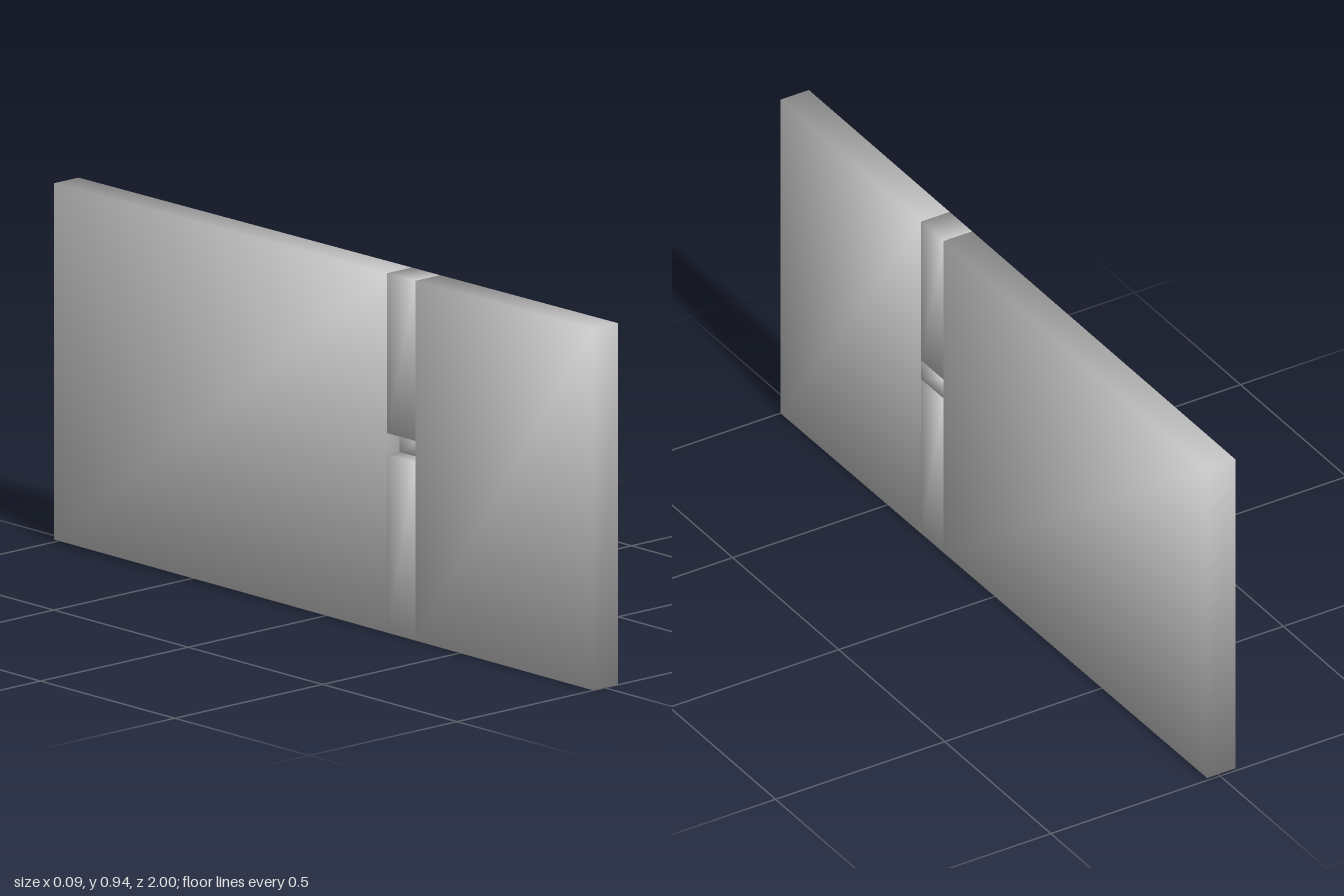
import * as THREE from 'three';

// Centre line drifts sideways and the height tapers slightly towards the back
const HALF = 0.042;
const drift = z => 0.0035 * z;
const bottomAt = z => 0.0035 * (1 - z);
const topAt = z => 0.9315 + 0.0035 * z;

// Six-sided block; u = -1..1 across the thickness, v = 0..1 up the height
function block(name, z0, z1, { u0 = -1, u1 = 1, v0 = 0, v1 = 1 } = {}) {
  const geo = new THREE.BoxGeometry(1, 1, 1);
  const pos = geo.attributes.position;
  const nor = geo.attributes.normal;
  const n = new THREE.Vector3();
  for (let i = 0; i < pos.count; i++) {
    const sx = pos.getX(i), sy = pos.getY(i), sz = pos.getZ(i);
    const z = sz < 0 ? z0 : z1;
    const u = sx < 0 ? u0 : u1;
    const v = sy < 0 ? v0 : v1;
    pos.setXYZ(i, drift(z) + u * HALF, THREE.MathUtils.lerp(bottomAt(z), topAt(z), v), z);
    // normals shared by the three faces at each corner, for soft shading
    n.set(sx, sy, sz).normalize();
    nor.setXYZ(i, n.x, n.y, n.z);
  }
  const mesh = new THREE.Mesh(geo, new THREE.MeshStandardMaterial({ color: 0xcccccc }));
  mesh.name = name;
  return mesh;
}

export function createModel() {
  const group = new THREE.Group();
  group.name = 'panel';
  const back = 0.235, front = 0.34;
  const low = 0.495, high = 0.555;

  // Wide panels on either side of the narrow strip
  group.add(block('rearPanel', -1, back));
  group.add(block('frontPanel', front, 1));

  // Strip between them, split by a thin piece that leaves a notch on one side
  group.add(block('lowerStrip', back, front, { v1: low }));
  group.add(block('upperStrip', back, front, { v0: high }));
  group.add(block('notchPiece', back, front, { u0: 0, v0: low, v1: high }));
  return group;
}
